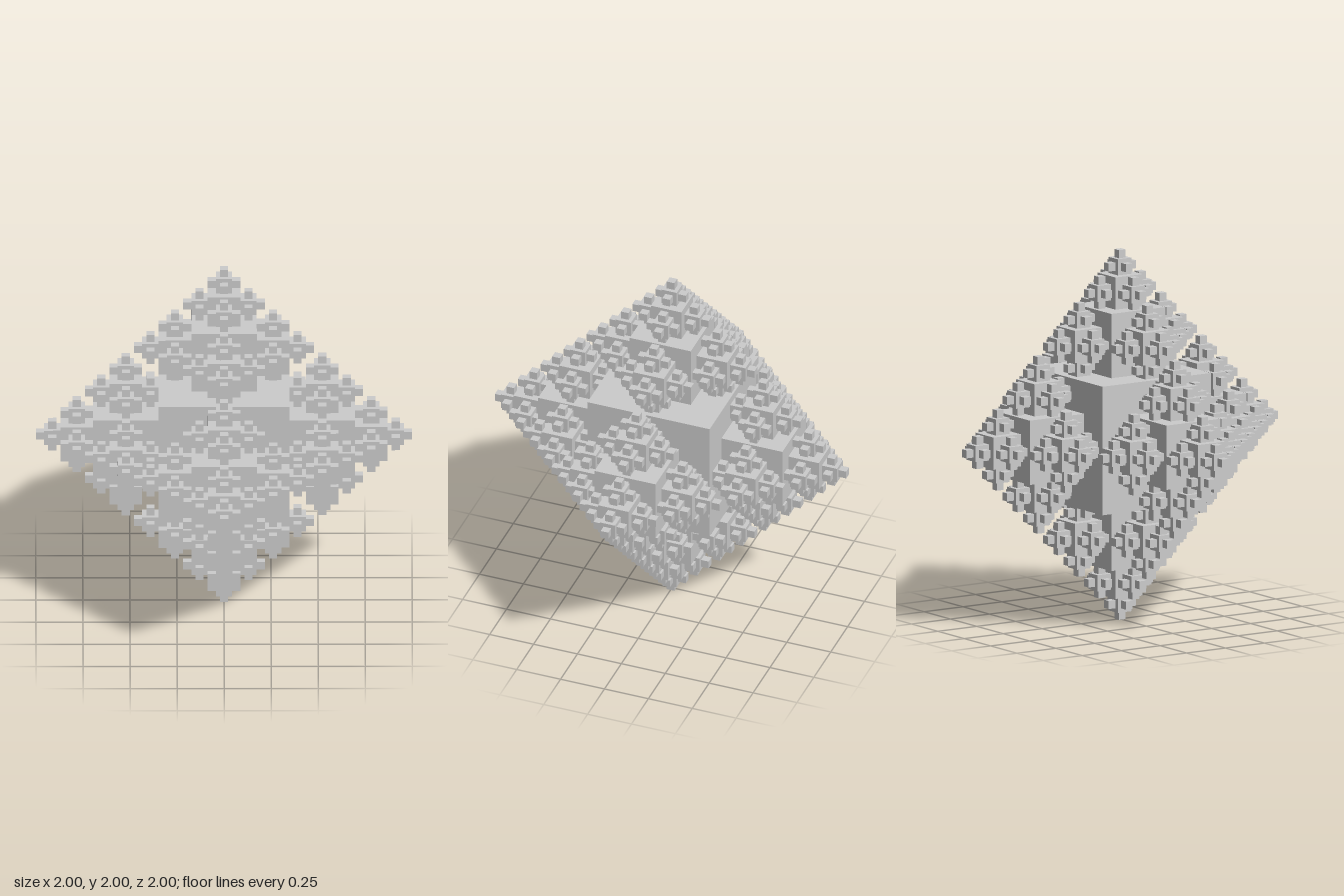
import * as THREE from 'three';
import { mergeGeometries } from 'three/addons/utils/BufferGeometryUtils.js';

const LEVELS = 5;
const CORE = 2 / 2.875; // edge of the core cube, so that the tips span 2 units
const NAMES = ['coreCube', 'largeCubes', 'mediumCubes', 'smallCubes', 'tipCubes'];
const DIRECTIONS = [
  [1, 0, 0], [-1, 0, 0], [0, 1, 0], [0, -1, 0], [0, 0, 1], [0, 0, -1],
].map((d) => new THREE.Vector3(...d));

// True when a cube lies wholly within another one
function contains(outer, inner) {
  const reach = (outer.size - inner.size) / 2 + 1e-5;
  const d = inner.center.clone().sub(outer.center);
  return Math.max(Math.abs(d.x), Math.abs(d.y), Math.abs(d.z)) <= reach;
}

// Half-size cubes centred on every face except the one joined to the parent
function childrenOf(cube) {
  return DIRECTIONS
    .filter((dir) => !cube.dir || dir.dot(cube.dir) > -0.5)
    .map((dir) => ({
      center: cube.center.clone().addScaledVector(dir, cube.size * 0.75),
      size: cube.size / 2,
      dir,
    }));
}

export function createModel() {
  const model = new THREE.Group();
  model.name = 'cubeFractal';
  const material = new THREE.MeshStandardMaterial({ color: 0xcccccc, flatShading: true });

  const placed = [];
  let level = [{ center: new THREE.Vector3(0, 1, 0), size: CORE, dir: null }];
  for (let i = 0; i < LEVELS; i++) {
    // Leave out cubes buried in earlier ones
    const visible = [];
    for (const cube of level) {
      if (placed.some((other) => contains(other, cube))) continue;
      placed.push(cube);
      visible.push(cube);
    }

    // One mesh for each generation of cubes
    const boxes = visible.map(({ center, size }) =>
      new THREE.BoxGeometry(size, size, size).translate(center.x, center.y, center.z));
    const mesh = new THREE.Mesh(mergeGeometries(boxes), material);
    mesh.name = NAMES[i];
    model.add(mesh);

    level = visible.flatMap(childrenOf);
  }
  return model;
}
